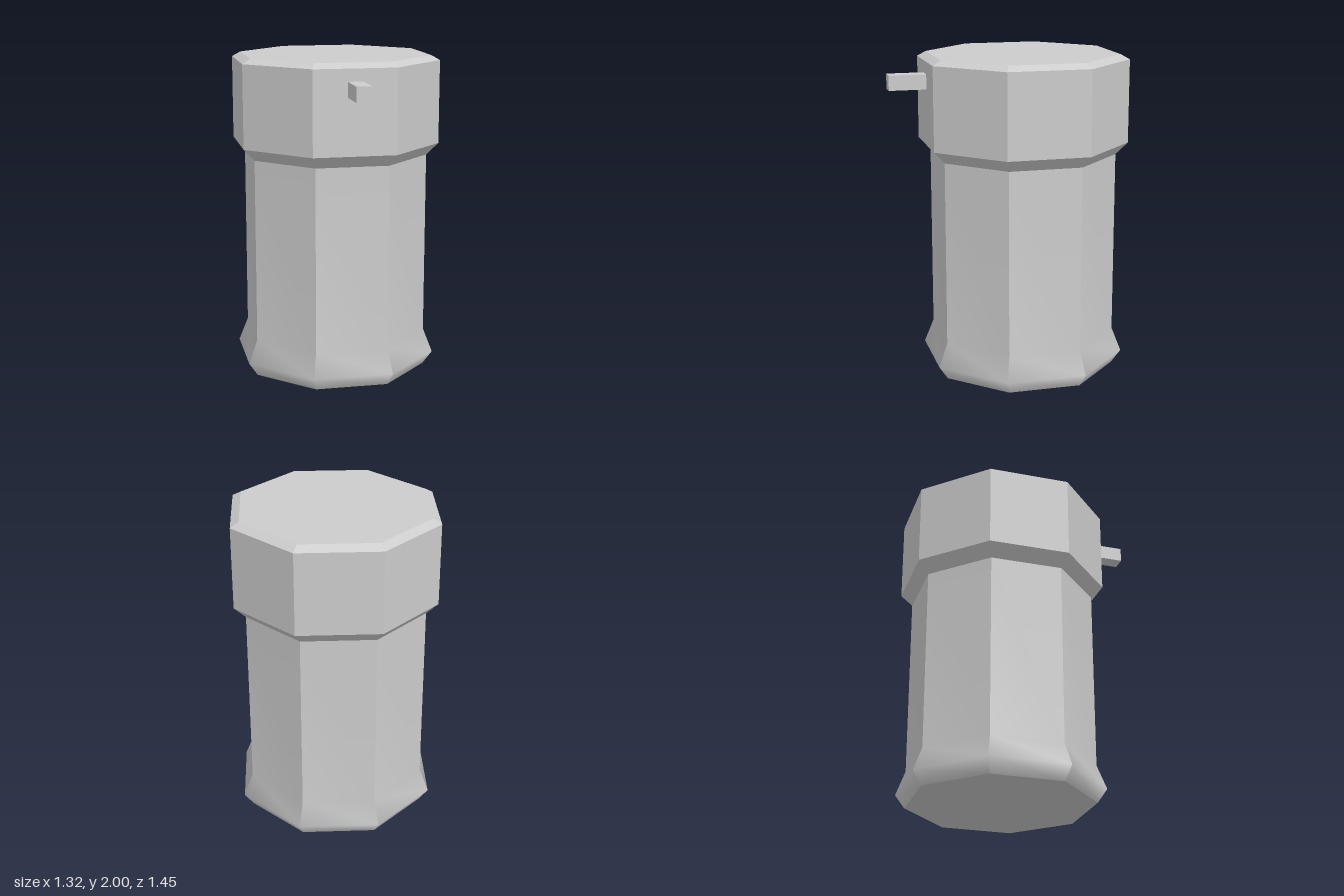
import * as THREE from 'three';
import { mergeGeometries } from 'three/addons/utils/BufferGeometryUtils.js';

const SIDES = 8;
const STEP = (Math.PI * 2) / SIDES;
const profile = (pairs) => pairs.map(([r, y]) => new THREE.Vector2(r, y));

// Prism wall from a profile: smooth along the height, sharp at the corners
function panelledWall(points) {
  const panels = [];
  for (let i = 0; i < SIDES; i++) {
    const panel = new THREE.LatheGeometry(points, 1, i * STEP, STEP);
    panel.computeVertexNormals();
    panels.push(panel);
  }
  return mergeGeometries(panels);
}

export function createModel() {
  const group = new THREE.Group();
  const smooth = new THREE.MeshStandardMaterial({ color: 0xcccccc });
  const flat = new THREE.MeshStandardMaterial({ color: 0xcccccc, flatShading: true });
  const add = (name, geometry, material) => {
    const mesh = new THREE.Mesh(geometry, material);
    mesh.name = name;
    group.add(mesh);
    return mesh;
  };

  // Octagonal body with a flared foot
  add('body', panelledWall(profile([
    [0.585, 0], [0.645, 0.085], [0.585, 0.235], [0.585, 1.38],
  ])), smooth);

  // Flat underside
  const base = new THREE.CircleGeometry(0.585, SIDES);
  base.rotateX(Math.PI / 2);
  add('base', base, flat);

  // Wider cap with bevelled lower and upper rims
  add('cap', new THREE.LatheGeometry(profile([
    [0.585, 1.38], [0.66, 1.455], [0.66, 1.97], [0.605, 2], [0, 2],
  ]), SIDES), flat);

  // Small peg standing straight out of one cap face
  const peg = new THREE.BoxGeometry(0.092, 0.092, 0.26);
  peg.translate(0, 1.848, 0.708);
  add('peg', peg, flat).rotation.y = STEP / 2;

  // The peg shifts the body back from the middle
  for (const part of group.children) part.position.z = -0.07;
  return group;
}
